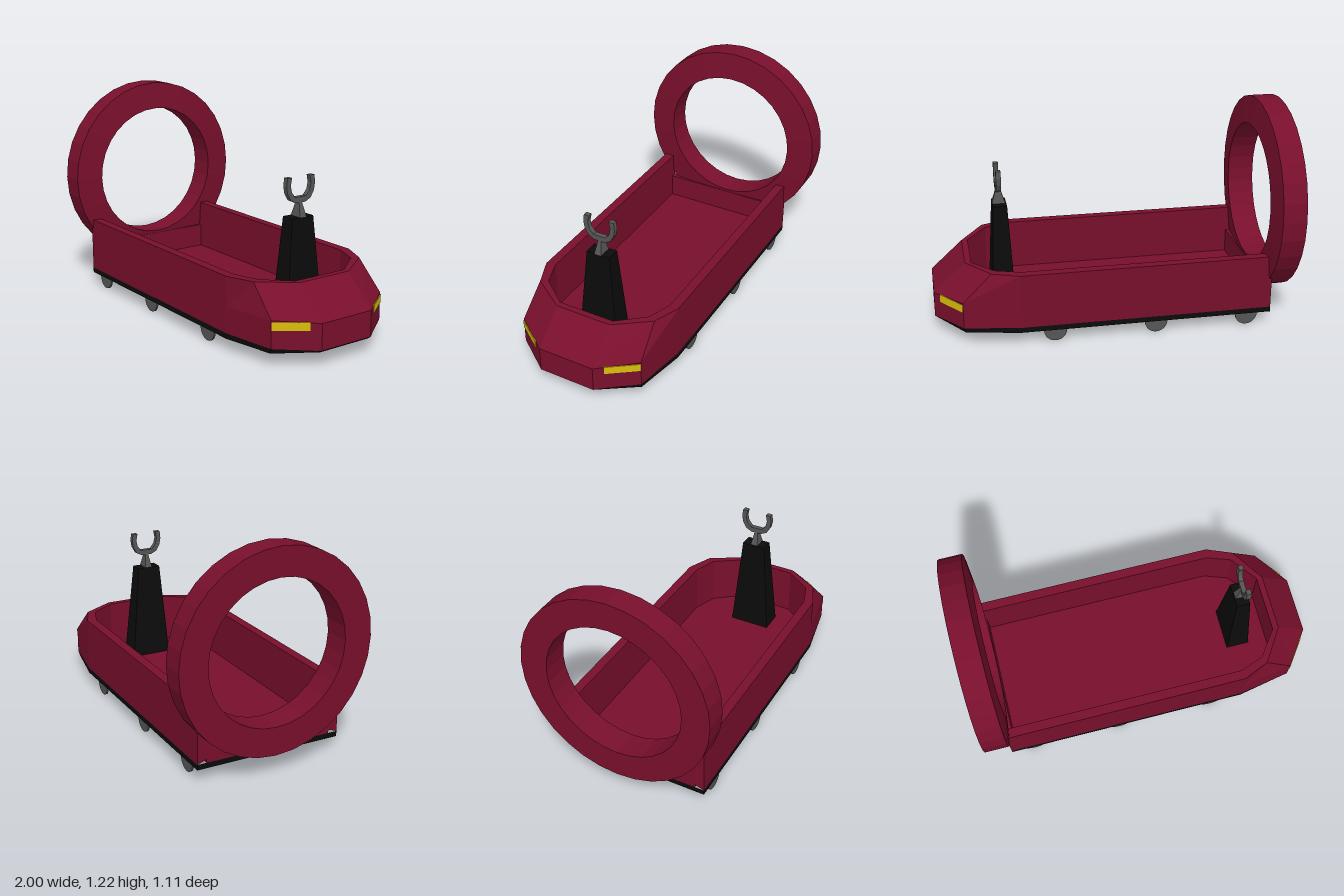
import * as THREE from 'three';

const paint = (color, side = THREE.FrontSide) =>
  new THREE.MeshStandardMaterial({ color, flatShading: true, side });
const red = paint(0x780f2c);
const black = paint(0x0b0b0b);
const grey = paint(0x555555);
const yellow = paint(0xd8bc0c);

function part(parent, name, geometry, material, x = 0, y = 0, z = 0) {
  const mesh = new THREE.Mesh(geometry, material);
  mesh.name = name;
  mesh.position.set(x, y, z);
  parent.add(mesh);
  return mesh;
}

// Flat-shaded geometry from a list of four-cornered faces
function fromQuads(quads) {
  const pos = [];
  for (const [a, b, c, d] of quads) pos.push(...a, ...b, ...c, ...a, ...c, ...d);
  const g = new THREE.BufferGeometry();
  g.setAttribute('position', new THREE.Float32BufferAttribute(pos, 3));
  g.computeVertexNormals();
  return g;
}

// Outline from the left rear round the nose to the right rear
const outline = (half) =>
  [...half, ...half.slice().reverse().map(([x, y, z]) => [x, y, -z])];

// Faces between two outlines
const strip = (a, b) =>
  a.slice(0, -1).map((p, i) => [p, a[i + 1], b[i + 1], b[i]]);

// Faces across an outline, from its left half to its right half
function cap(ring, up) {
  const quads = [];
  for (let i = 0; i < ring.length / 2 - 1; i++) {
    const j = ring.length - 1 - i;
    const q = [ring[i], ring[i + 1], ring[j - 1], ring[j]];
    quads.push(up ? q : q.reverse());
  }
  return quads;
}

// Four-sided tapered post
function taper(x0, z0, x1, z1, height) {
  const g = new THREE.BoxGeometry(2, height, 2);
  const p = g.attributes.position;
  for (let i = 0; i < p.count; i++) {
    const top = p.getY(i) > 0;
    p.setX(i, p.getX(i) * (top ? x1 : x0));
    p.setZ(i, p.getZ(i) * (top ? z1 : z0));
  }
  g.translate(0, height / 2, 0);
  g.computeVertexNormals();
  return g;
}

export function createModel() {
  const model = new THREE.Group();
  model.name = 'hovercraft';

  // Hull parts share a slightly offset centre line
  const hull = new THREE.Group();
  hull.name = 'hull';
  hull.position.z = 0.034;
  model.add(hull);

  const under = outline([[-0.88, 0.07, 0.422], [0.54, 0.07, 0.422], [0.84, 0.072, 0.366], [0.985, 0.078, 0.163]]);
  const low = outline([[-0.88, 0.1, 0.422], [0.54, 0.1, 0.422], [0.85, 0.1, 0.37], [1, 0.09, 0.165]]);
  const mid = outline([[-0.88, 0.25, 0.422], [0.54, 0.25, 0.422], [0.85, 0.25, 0.37], [1, 0.235, 0.165]]);
  const top = outline([[-0.88, 0.41, 0.422], [0.54, 0.41, 0.422], [0.69, 0.408, 0.36], [0.82, 0.4, 0.165]]);
  const rim = outline([[-0.88, 0.41, 0.368], [0.53, 0.41, 0.368], [0.67, 0.408, 0.318], [0.785, 0.4, 0.165]]);
  const floor = rim.map(([x, , z]) => [x, 0.12, z]);
  const n = low.length - 1;

  // Red tub: outer skin, rim, inner walls, floor and rear wall ends
  part(hull, 'tub', fromQuads([
    ...strip(low, mid), ...strip(mid, top), ...strip(top, rim), ...strip(rim, floor),
    ...cap(floor, true),
    [low[0], top[0], rim[0], floor[0]],
    [floor[n], rim[n], top[n], low[n]],
  ]), red);
  part(hull, 'rearWall', new THREE.BoxGeometry(0.035, 0.16, 0.738), red, -0.8625, 0.18, 0);

  // Black base plate
  part(hull, 'basePlate', fromQuads([
    ...strip(under, low), ...cap(under, false),
    [under[0], low[0], low[n], under[n]],
  ]), black);

  // Thin wheels and headlights, mirrored
  for (const side of [1, -1]) {
    for (const x of [-0.742, -0.218, 0.352]) {
      const wheel = new THREE.CylinderGeometry(0.064, 0.064, 0.01, 24).rotateX(Math.PI / 2);
      part(hull, 'wheel', wheel, grey, x, 0.064, side * 0.406);
    }
    const a = new THREE.Vector3(0.85, 0.221, side * 0.37);
    const b = new THREE.Vector3(1, 0.217, side * 0.165);
    const length = a.distanceTo(b);
    const centre = a.clone().lerp(b, 0.385);
    const light = part(hull, 'headlight', new THREE.BoxGeometry(length * 0.76, 0.045, 0.008), yellow,
      centre.x, centre.y, centre.z);
    light.rotation.y = side * Math.atan2(0.205, 0.15);
  }

  // Post with a forked rest
  part(hull, 'post', taper(0.067, 0.121, 0.039, 0.07, 0.56), black, 0.605, 0.12, 0.004);
  part(hull, 'forkStem', taper(0.038, 0.022, 0.012, 0.008, 0.085), grey, 0.609, 0.68, 0.004);

  const half = [
    [0.03, 0.755], [0.066, 0.772], [0.088, 0.81], [0.095, 0.85], [0.09, 0.893],
    [0.06, 0.893], [0.068, 0.852], [0.06, 0.815], [0.036, 0.786],
  ];
  const forkShape = new THREE.Shape(
    [...half, ...half.slice().reverse().map(([u, v]) => [-u, v])].map(([u, v]) => new THREE.Vector2(u, v)));
  const fork = new THREE.ExtrudeGeometry(forkShape, { depth: 0.028, bevelEnabled: false });
  fork.translate(0, 0, -0.014).rotateY(Math.PI / 2);
  part(hull, 'fork', fork, grey, 0.611, 0, 0.004);

  // Rear fan ring with a slightly conical front face
  const profile = [[0.395, -1], [0.553, -1], [0.553, -0.865], [0.395, -0.845], [0.395, -1]];
  const ring = new THREE.LatheGeometry(profile.map(([r, x]) => new THREE.Vector2(r, x)), 32);
  ring.rotateZ(-Math.PI / 2);
  part(model, 'fanRing', ring, red, 0, 0.67, 0);

  return model;
}
